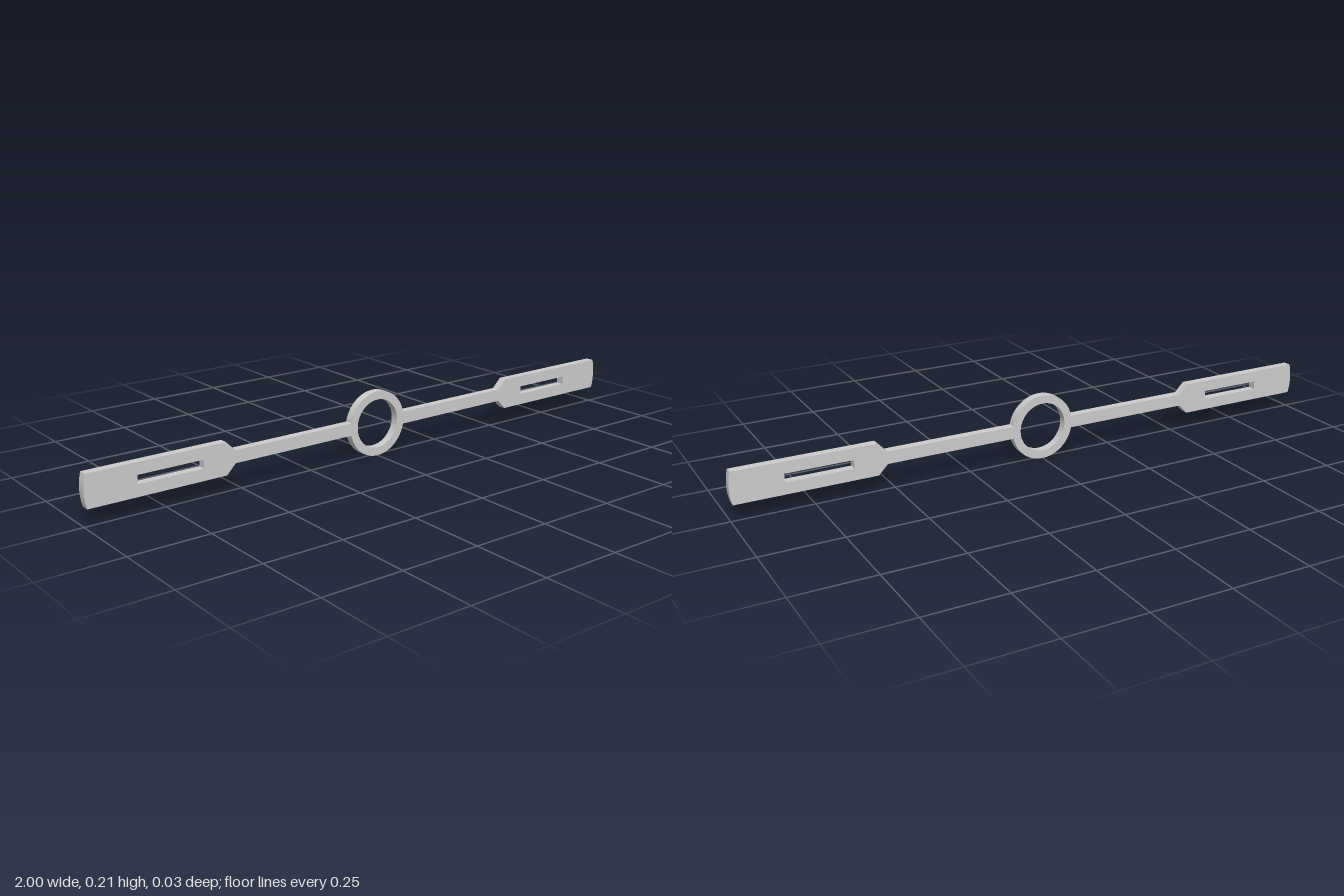
import * as THREE from 'three';
import { toCreasedNormals } from 'three/addons/utils/BufferGeometryUtils.js';

const DEPTH = 0.027, RING_OUTER = 0.1055, RING_INNER = 0.079;
const BAR = 0.02, PADDLE = 0.051, TIP_RADIUS = 0.19;

export function createModel() {
  const group = new THREE.Group();
  group.name = 'slottedBar';

  const shape = new THREE.Shape();
  const ringAngle = Math.asin(BAR / RING_OUTER);
  const tipAngle = Math.asin(PADDLE / TIP_RADIUS);

  // Outline: each arm with its tapered paddle and bowed tip, then half the ring
  for (const s of [1, -1]) {
    const turn = s > 0 ? 0 : Math.PI;
    const start = [RING_OUTER * Math.cos(ringAngle) * s, -BAR * s];
    if (s > 0) shape.moveTo(...start);
    shape.lineTo(0.525 * s, -BAR * s);
    shape.lineTo(0.555 * s, -PADDLE * s);
    shape.absarc((1 - TIP_RADIUS) * s, 0, TIP_RADIUS, turn - tipAngle, turn + tipAngle, false);
    shape.lineTo(0.555 * s, PADDLE * s);
    shape.lineTo(0.525 * s, BAR * s);
    shape.absarc(0, 0, RING_OUTER, turn + ringAngle, turn + Math.PI - ringAngle, false);

    // Slot through the paddle
    const slot = [[0.63, -0.0135], [0.63, 0.0135], [0.84, 0.0135], [0.84, -0.0135]];
    shape.holes.push(new THREE.Path(slot.map(([x, y]) => new THREE.Vector2(x * s, y * s))));
  }

  // Round centre opening
  shape.holes.push(new THREE.Path().absarc(0, 0, RING_INNER, 0, Math.PI * 2, true));

  const geometry = new THREE.ExtrudeGeometry(shape, { depth: DEPTH, bevelEnabled: false, curveSegments: 32 });
  geometry.translate(0, RING_OUTER, -DEPTH / 2);
  const bar = new THREE.Mesh(
    toCreasedNormals(geometry, Math.PI / 7),
    new THREE.MeshStandardMaterial({ color: 0xcccccc })
  );
  bar.name = 'ringAndPaddleArms';
  group.add(bar);
  return group;
}
